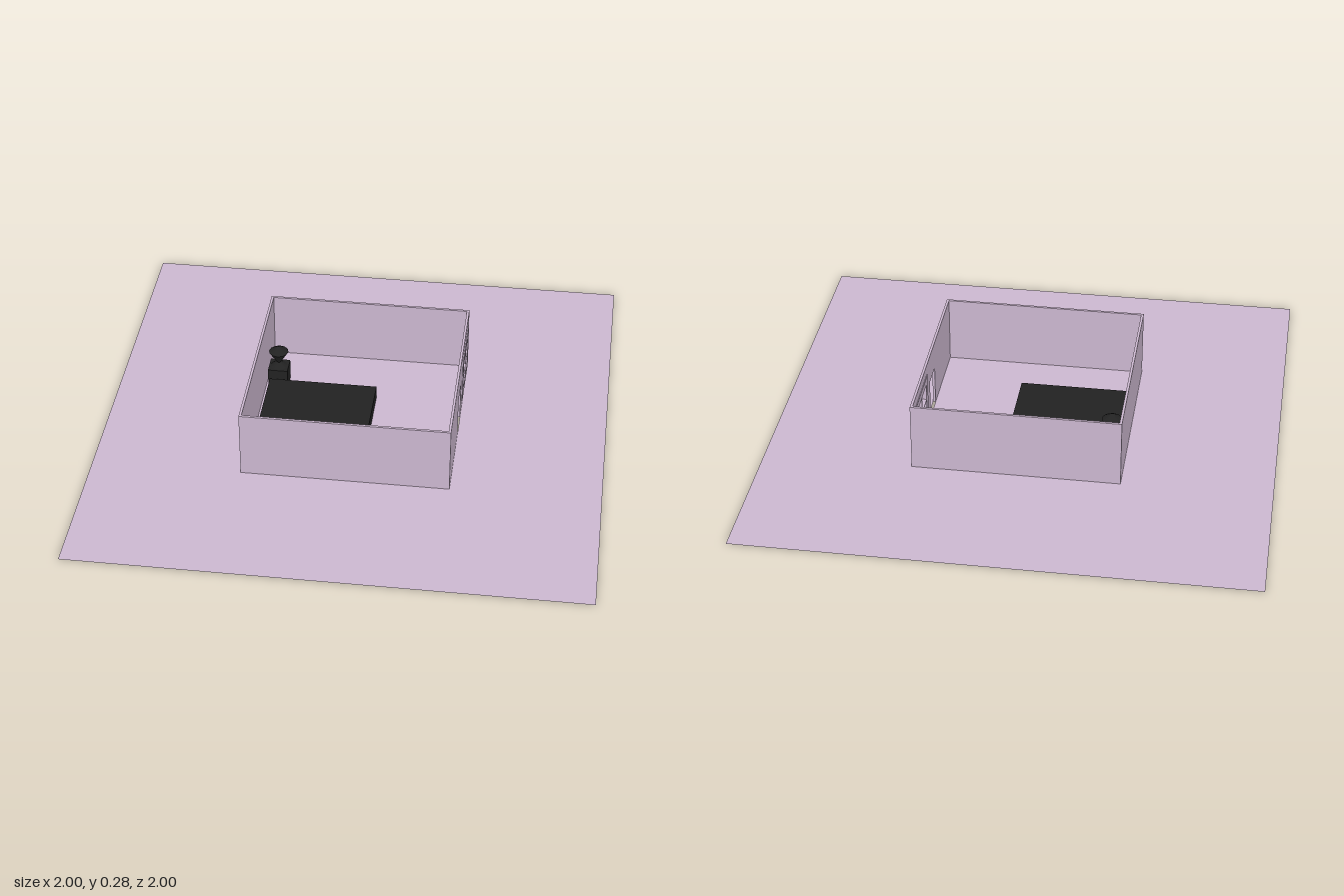
import * as THREE from 'three';

const mauve = new THREE.MeshStandardMaterial({ color: 0xcbb7cf, side: THREE.DoubleSide });
const black = new THREE.MeshStandardMaterial({ color: 0x222222, side: THREE.DoubleSide, flatShading: true });

const OUT = 0.41, IN = 0.4, HEIGHT = 0.277;

// Closed rectangle, usable as outline or hole
function rect(x0, x1, y0, y1, Type = THREE.Path) {
  return new Type([[x0, y0], [x1, y0], [x1, y1], [x0, y1]].map(([x, y]) => new THREE.Vector2(x, y)));
}

function plate(outline, holes) {
  const shape = rect(...outline, THREE.Shape);
  shape.holes = holes.map(h => rect(...h));
  return shape;
}

// Box given by its limits, with an open underside
function openBox(x0, x1, h, z0, z1) {
  const g = new THREE.BoxGeometry(x1 - x0, h, z1 - z0);
  g.setIndex(Array.from(g.index.array).filter((_, i) => i < 18 || i >= 24));
  g.clearGroups();
  return g.translate((x0 + x1) / 2, h / 2, (z0 + z1) / 2);
}

// Side-view shape (horizontal axis = -z) extruded from x0 to x1
function sidePanel(shape, x0, x1) {
  return new THREE.ExtrudeGeometry(shape, { depth: x1 - x0, bevelEnabled: false })
    .rotateY(Math.PI / 2).translate(x0, 0, 0);
}

export function createModel() {
  const model = new THREE.Group();
  model.name = 'roofless room';
  const add = (name, geometry, material) => {
    const mesh = new THREE.Mesh(geometry, material);
    mesh.name = name;
    model.add(mesh);
    return mesh;
  };

  // Ground and floor are flat sheets, cut out under the solid parts
  const sheet = s => new THREE.ShapeGeometry(s).rotateX(-Math.PI / 2);
  add('ground', sheet(plate([-1, 1, -1, 1], [[-OUT, OUT, -OUT, OUT]])), mauve);
  add('floor', sheet(plate([-IN, IN, -IN, IN],
    [[-0.38, 0.06, -0.16, 0.135], [-0.39, -0.31, 0.155, 0.235]])), mauve);

  // Plain walls
  add('frontWall', openBox(-OUT, OUT, HEIGHT, IN, OUT), mauve);
  add('backWall', openBox(-OUT, OUT, HEIGHT, -OUT, -IN), mauve);
  add('plainSideWall', openBox(-OUT, -IN, HEIGHT, -IN, IN), mauve);

  // Wall with a doorway notch and a window opening
  const wall = new THREE.Shape([
    [-IN, 0], [-0.055, 0], [-0.055, 0.165], [0.05, 0.165], [0.05, 0],
    [IN, 0], [IN, HEIGHT], [-IN, HEIGHT],
  ].map(([u, v]) => new THREE.Vector2(u, v)));
  wall.holes.push(rect(0.14, 0.322, 0.068, 0.205));
  add('doorWall', sidePanel(wall, IN, OUT), mauve);

  // Four-pane window frame, slightly proud of the wall on both faces
  const panes = [];
  for (const [u0, u1] of [[0.14, 0.229], [0.235, 0.322]])
    for (const [v0, v1] of [[0.068, 0.134], [0.139, 0.205]]) panes.push([u0, u1, v0, v1]);
  add('windowFrame', sidePanel(plate([0.107, 0.36, 0.038, 0.236], panes), IN - 0.003, OUT + 0.004), mauve);

  // Furniture
  add('bed', openBox(-0.38, 0.06, 0.057, -0.135, 0.16), black);
  add('nightstand', openBox(-0.39, -0.31, 0.085, -0.235, -0.155), black);

  // Hourglass lamp with a pointed cap
  const profile = [[0.034, 0.085], [0.007, 0.103], [0.04, 0.155], [0, 0.18]]
    .map(([r, y]) => new THREE.Vector2(r, y));
  add('lamp', new THREE.LatheGeometry(profile, 12), black).position.set(-0.35, 0, -0.195);

  return model;
}
